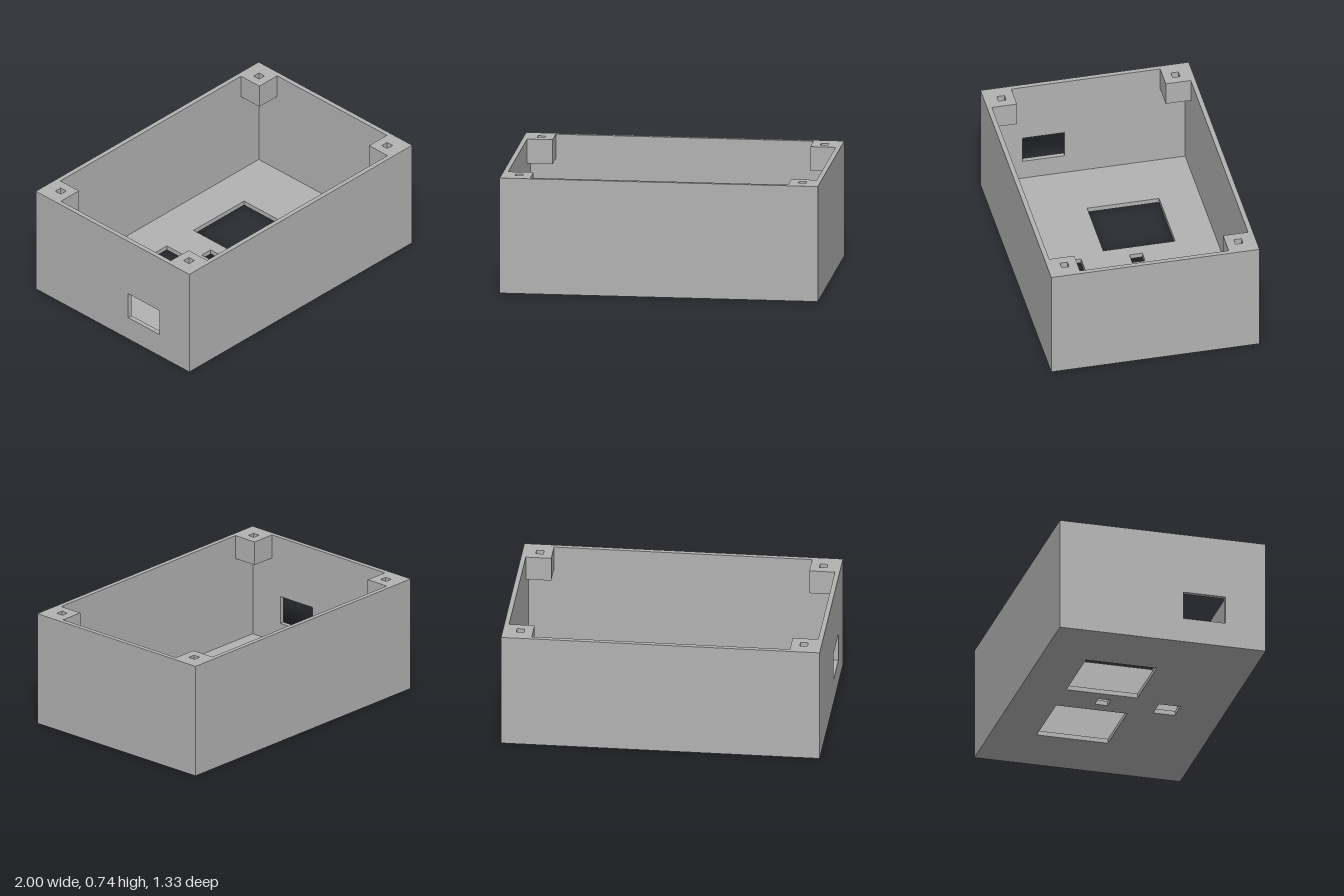
import * as THREE from 'three';

const W = 1, D = 0.666, H = 0.735, T = 0.03; // half width, half depth, height, wall
const POST = 0.16, POST_H = 0.155, SCREW = 0.024;

// Rectangular plate with rectangular holes, each given as [x0, y0, x1, y1]
function plate(rect, holes, depth) {
  const corners = ([x0, y0, x1, y1]) =>
    [[x0, y0], [x1, y0], [x1, y1], [x0, y1]].map(([x, y]) => new THREE.Vector2(x, y));
  const shape = new THREE.Shape(corners(rect));
  holes.forEach(h => shape.holes.push(new THREE.Path(corners(h).reverse())));
  return new THREE.ExtrudeGeometry(shape, { depth, bevelEnabled: false });
}

export function createModel() {
  const model = new THREE.Group();
  model.name = 'enclosure';
  const grey = new THREE.MeshStandardMaterial({ color: 0xb2b2b2 });
  grey.name = 'grey plastic';

  const add = (name, geometry, x = 0, y = 0, z = 0) => {
    const mesh = new THREE.Mesh(geometry, grey);
    mesh.name = name;
    mesh.position.set(x, y, z);
    model.add(mesh);
  };

  // Floor with two large openings and two small ones
  const openings = [
    [-0.575, -0.38, -0.12, 0.08],
    [0.12, -0.38, 0.573, 0.08],
    [-0.042, -0.152, 0.038, -0.07],
    [-0.068, 0.234, 0.066, 0.374],
  ];
  add('floor', plate([-W, -D, W, D], openings, T).rotateX(Math.PI / 2), 0, T, 0);

  // Long walls
  const wallH = H - T, wallY = T + wallH / 2;
  add('frontWall', new THREE.BoxGeometry(2 * W, wallH, T), 0, wallY, D - T / 2);
  add('backWall', new THREE.BoxGeometry(2 * W, wallH, T), 0, wallY, -D + T / 2);

  // End walls, one with a cable port
  add('plainEndWall', new THREE.BoxGeometry(T, wallH, 2 * (D - T)), W - T / 2, wallY, 0);
  const port = [0.135, 0.16, 0.405, 0.34];
  add('portEndWall', plate([-D + T, T, D - T, H], [port], T).rotateY(-Math.PI / 2), -W + T, 0, 0);

  // Corner posts with square screw holes running through them
  const half = POST / 2;
  for (const sx of [-1, 1]) {
    for (const sz of [-1, 1]) {
      const geometry = plate([-half, -half, half, half], [[-SCREW, -SCREW, SCREW, SCREW]], POST_H);
      geometry.rotateX(Math.PI / 2);
      add('cornerPost', geometry, sx * (W - T - half), H, sz * (D - T - half));
    }
  }
  return model;
}
